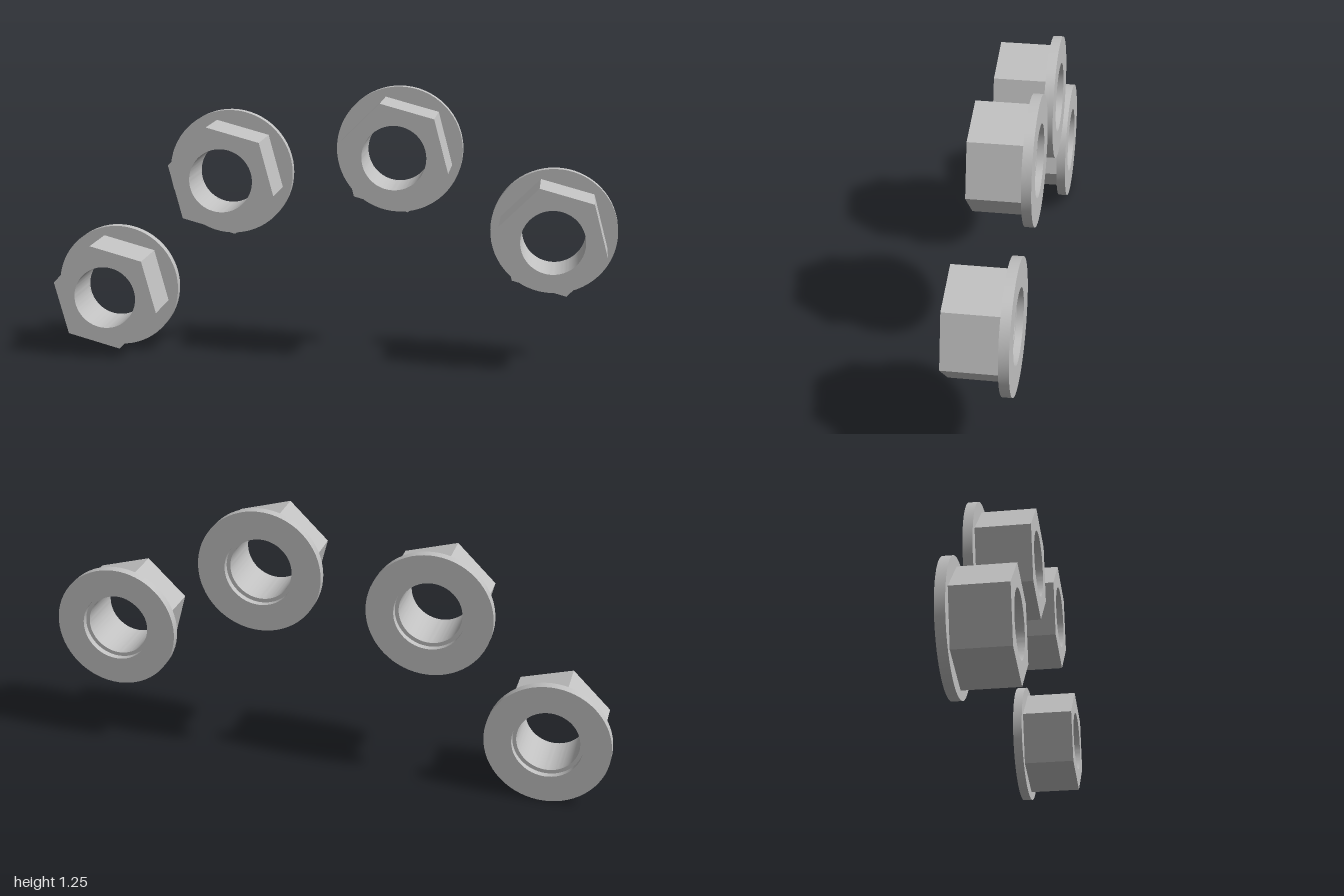
import * as THREE from 'three';
import { toCreasedNormals } from 'three/addons/utils/BufferGeometryUtils.js';

const SEGMENTS = 64;
const BORE = 0.1425;
const HEX = 0.247;
const FLANGE = 0.285;
const FLANGE_THICKNESS = 0.043;
const DEPTH = 0.284;

// Hexagonal body with a round bore, extruded forward from the flange
function hexBodyGeometry() {
  const corners = [];
  for (let i = 0; i < 6; i++) {
    const a = Math.PI / 4 + (i * Math.PI) / 3;
    corners.push(new THREE.Vector2(HEX * Math.cos(a), HEX * Math.sin(a)));
  }
  const shape = new THREE.Shape(corners);
  shape.holes.push(new THREE.Path().absarc(0, 0, BORE, 0, Math.PI * 2, true));
  const geometry = new THREE.ExtrudeGeometry(shape, {
    depth: DEPTH - FLANGE_THICKNESS, bevelEnabled: false, curveSegments: SEGMENTS,
  });
  geometry.translate(0, 0, FLANGE_THICKNESS);
  return toCreasedNormals(geometry, 0.5);
}

// Washer-like flange with a shallow counterbore at the back
function flangeGeometry() {
  const profile = [
    [0.16, 0], [FLANGE, 0], [FLANGE, FLANGE_THICKNESS], [BORE, FLANGE_THICKNESS],
    [BORE, 0.03], [0.16, 0.03], [0.16, 0],
  ].map(([r, y]) => new THREE.Vector2(r, y));
  const geometry = new THREE.LatheGeometry(profile, SEGMENTS);
  geometry.rotateX(Math.PI / 2);
  return toCreasedNormals(geometry, 0.5);
}

export function createModel() {
  const model = new THREE.Group();
  model.name = 'flangeNuts';
  const steel = new THREE.MeshStandardMaterial({ color: 0xc0c0c0 });
  steel.name = 'steelGrey';

  const body = hexBodyGeometry();
  const flange = flangeGeometry();

  // Centre of each nut's flange back
  const positions = [
    [-0.632, 0.285, -0.798],
    [-0.247, 0.842, -0.408],
    [0.301, 0.963, 0.138],
    [0.798, 0.606, 0.63],
  ];
  positions.forEach((position, i) => {
    const nut = new THREE.Group();
    nut.name = `nut${i + 1}`;
    for (const [name, geometry] of [['hexBody', body], ['flange', flange]]) {
      const mesh = new THREE.Mesh(geometry, steel);
      mesh.name = name;
      nut.add(mesh);
    }
    nut.position.set(...position);
    nut.rotation.y = -Math.PI / 4;
    model.add(nut);
  });
  return model;
}
